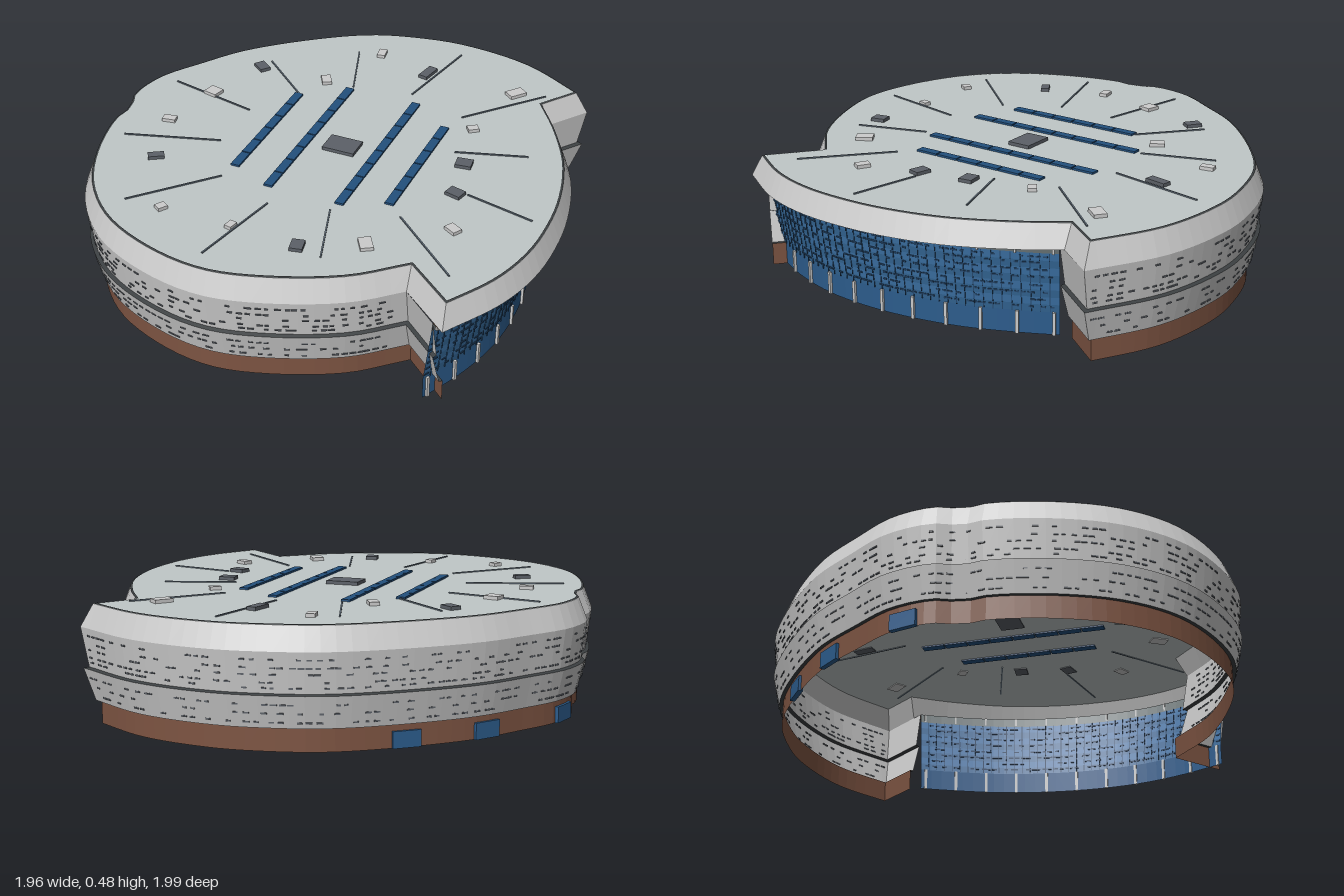
import * as THREE from 'three';
import { mergeGeometries } from 'three/addons/utils/BufferGeometryUtils.js';

const mat = (color) => new THREE.MeshStandardMaterial({ color, side: THREE.DoubleSide, flatShading: true });
const M = {
  shell: mat(0xcccccc), roof: mat(0xc0c8c8), dark: mat(0x5c6168), seam: mat(0x3c4042), brown: mat(0x7d5442),
  glassA: mat(0x3c72a6), glassB: mat(0x346796), glassBase: mat(0x2c5c8c), glassDash: mat(0x24466a),
  skylight: mat(0x23507d), line: mat(0x63707c), frame: mat(0x6c7678), white: mat(0xe4e6e6), soffit: mat(0x5a3c24),
};

// Plan curves, all running counter-clockwise seen from above
const plan = (pts) => new THREE.CatmullRomCurve3(pts.map(([x, z]) => new THREE.Vector3(x, 0, z)));
const shellCurve = plan([
  [0.805, -0.78], [0.5, -0.945], [0.18, -1], [-0.025, -0.98], [-0.235, -0.92], [-0.445, -0.79], [-0.71, -0.555],
  [-0.84, -0.37], [-0.95, -0.185], [-0.98, 0], [-0.945, 0.1], [-0.955, 0.185], [-0.905, 0.42], [-0.79, 0.66],
  [-0.605, 0.845], [-0.34, 0.96], [-0.1, 0.99], [0.135, 0.935], [0.4, 0.81], [0.5625, 0.67]]);
const eaveCurve = plan([[0.763, 0.835], [0.9, 0.6], [0.96, 0.4], [0.975, 0.2], [0.96, 0], [0.9, -0.24], [0.785, -0.475], [0.69, -0.62]]);
const glassCurve = plan([[0.715, 0.8], [0.805, 0.6], [0.86, 0.4], [0.875, 0.2], [0.86, 0], [0.805, -0.24], [0.7, -0.49], [0.655, -0.575]]);

// Moves a plan line inward by d with mitred corners
function inset(pts, d, closed = false) {
  const n = pts.length;
  const edge = (i) => {
    const a = pts[(i + n) % n], b = pts[(i + 1 + n) % n];
    const l = Math.hypot(b.x - a.x, b.z - a.z);
    return [(b.z - a.z) / l, -(b.x - a.x) / l];
  };
  return pts.map((p, i) => {
    const e1 = edge(!closed && i === 0 ? 0 : i - 1), e2 = edge(!closed && i === n - 1 ? n - 2 : i);
    const k = d / Math.max(0.4, 1 + e1[0] * e2[0] + e1[1] * e2[1]);
    return new THREE.Vector3(p.x + (e1[0] + e2[0]) * k, 0, p.z + (e1[1] + e2[1]) * k);
  });
}

// Band between a lower and an upper plan line
function band(name, low, yLow, high, yHigh, material, closed = false) {
  const n = low.length, pos = [], idx = [];
  low.forEach((p) => pos.push(p.x, yLow, p.z));
  high.forEach((p) => pos.push(p.x, yHigh, p.z));
  for (let i = 0; i < (closed ? n : n - 1); i++) {
    const j = (i + 1) % n;
    idx.push(i, j, n + j, i, n + j, n + i);
  }
  const g = new THREE.BufferGeometry();
  g.setAttribute('position', new THREE.Float32BufferAttribute(pos, 3));
  g.setIndex(idx);
  g.computeVertexNormals();
  return named(name, g, material);
}

function named(name, geometry, material) {
  const m = new THREE.Mesh(geometry, material);
  m.name = name;
  return m;
}

// Box set on a plan curve at fraction u, inset by off, centred at height y
function boxOn(curve, u, y, off, w, h, d) {
  const p = curve.getPointAt(u), t = curve.getTangentAt(u);
  return new THREE.BoxGeometry(w, h, d).rotateY(Math.atan2(-t.z, t.x))
    .translate(p.x + t.z * off, y, p.z - t.x * off);
}

// Fraction of a curve closest to a plan point
function nearest(curve, x, z) {
  let best = 0, bd = 9;
  for (let u = 0; u <= 1; u += 0.005) {
    const p = curve.getPointAt(u), d = Math.hypot(p.x - x, p.z - z);
    if (d < bd) { bd = d; best = u; }
  }
  return best;
}

let seed = 7;
const rand = () => (seed = (seed * 16807) % 2147483647) / 2147483647;

// Rows of short dashes scattered along a curved wall
function dashes(curve, rows, count, keep, offAt) {
  const list = [];
  for (const y of rows) for (let i = 0; i < count; i++) {
    if (rand() > keep) continue;
    const u = 0.008 + 0.984 * (i + rand() * 0.5) / count;
    list.push(boxOn(curve, u, y, offAt(y), 0.014 + rand() * 0.012, 0.006, 0.006));
  }
  return mergeGeometries(list);
}

export function createModel() {
  const model = new THREE.Group();
  const shell = shellCurve.getSpacedPoints(80);
  const eave = eaveCurve.getSpacedPoints(30);
  const glass = glassCurve.getSpacedPoints(30);
  const EAVE = 0.375, TOP = 0.465, SEAM = 0.22, BASE = 0.09;

  // Outer wall with its two return walls, in two tapering tiers over a brown plinth
  const wall = [glass[30], ...shell, glass[0]];
  const w = (d) => inset(wall, d);
  model.add(
    band('upperWall', w(0.02), SEAM, wall, EAVE, M.shell),
    band('wallSeam', w(0.005), SEAM - 0.005, w(0.021), SEAM, M.seam),
    band('lowerWall', w(0.035), BASE, w(0.005), SEAM - 0.005, M.shell),
    band('wallUnderside', w(0.05), BASE, w(0.035), BASE, M.seam),
    band('plinth', w(0.05), 0, w(0.05), BASE, M.brown));
  const wallOff = (y) => y > SEAM ? 0.02 * (EAVE - y) / (EAVE - SEAM) : 0.005 + 0.03 * (SEAM - y) / (SEAM - BASE);
  model.add(named('wallPerforations',
    dashes(shellCurve, [0.345, 0.315, 0.29, 0.26, 0.24, 0.18, 0.147, 0.112], 130, 0.55, wallOff), M.dark));

  // Doors in the plinth
  const doors = [[-0.5, -0.75], [-0.75, -0.5], [-0.96, -0.13]].map(([x, z]) =>
    boxOn(shellCurve, nearest(shellCurve, x, z), 0.032, 0.05, 0.11, 0.064, 0.02));
  model.add(named('doors', mergeGeometries(doors), M.glassBase));

  // Leaning glass front in striped bands, upright at street level
  const glassOff = (y) => 0.04 * (EAVE - y) / (EAVE - BASE);
  const g = (y) => inset(glass, glassOff(y));
  const bands = 8, glassTop = 0.335;
  for (let i = 0; i < bands; i++) {
    const y0 = BASE + (glassTop - BASE) * i / bands, y1 = BASE + (glassTop - BASE) * (i + 1) / bands;
    model.add(band('glassBand', g(y0), y0, g(y1), y1, i % 2 ? M.glassA : M.glassB));
  }
  model.add(
    band('glassHead', g(glassTop), glassTop, glass, EAVE, M.frame),
    band('entranceGlass', g(BASE), 0, g(BASE), BASE, M.glassBase),
    named('glassPattern', dashes(glassCurve, [0.11, 0.14, 0.17, 0.2, 0.235, 0.265, 0.295, 0.32], 55, 0.6, glassOff), M.glassDash));
  const posts = [], mullions = [];
  for (let i = 0; i < 11; i++) {
    const u = 0.015 + 0.97 * i / 10;
    posts.push(boxOn(glassCurve, u, BASE / 2, 0.037, 0.012, BASE, 0.014));
    posts.push(boxOn(glassCurve, u, 0.354, 0, 0.008, 0.04, 0.01));
  }
  for (let i = 1; i < 40; i++) for (let k = 0; k < 8; k++) {
    const y = BASE + (k + 0.5) * 0.0306;
    mullions.push(boxOn(glassCurve, i / 40, y, glassOff(y), 0.003, 0.031, 0.004));
  }
  model.add(named('entrancePosts', mergeGeometries(posts), M.white), named('glassMullions', mergeGeometries(mullions), M.glassDash));

  // Roof: sloping crown, flat deck, dark rim and soffit over the glass
  const outline = [...shell, ...eave];
  const deckEdge = inset(outline, 0.035, true);
  const shape = new THREE.Shape(deckEdge.map((p) => new THREE.Vector2(p.x, -p.z)));
  model.add(
    band('roofCrown', outline, EAVE, deckEdge, TOP, M.shell, true),
    band('roofRim', deckEdge, TOP + 0.001, inset(outline, 0.043, true), TOP + 0.003, M.seam, true),
    named('roofDeck', new THREE.ShapeGeometry(shape).rotateX(-Math.PI / 2).translate(0, TOP, 0), M.roof),
    band('soffit', glass, EAVE, eave, EAVE, M.soffit));

  // Skylight strips made of short panes
  const panes = [];
  for (const [x, z0, count] of [[-0.31, -0.285, 6], [-0.13, -0.41, 8], [0.17, -0.41, 8], [0.345, -0.285, 6]])
    for (let i = 0; i < count; i++)
      panes.push(new THREE.BoxGeometry(0.036, 0.014, 0.095).translate(x, TOP + 0.001, z0 + 0.05 + i * 0.1));
  model.add(named('skylights', mergeGeometries(panes), M.skylight));

  // Radial roof joints: x, z of both ends
  const joints = [
    [0.2, -0.87, 0.125, -0.475], [0.645, -0.685, 0.38, -0.385], [0.725, -0.215, 0.445, -0.13], [0.875, 0.195, 0.595, 0.13],
    [0.71, 0.635, 0.415, 0.37], [0.245, 0.72, 0.155, 0.435], [-0.16, 0.87, -0.08, 0.49], [-0.59, 0.685, -0.325, 0.395],
    [-0.825, 0.285, -0.445, 0.17], [-0.83, -0.17, -0.445, -0.085], [-0.535, -0.485, -0.31, -0.285], [-0.22, -0.715, -0.125, -0.43],
  ].map(([x0, z0, x1, z1]) => new THREE.BoxGeometry(0.006, 0.008, Math.hypot(x1 - x0, z1 - z0))
    .rotateY(Math.atan2(x1 - x0, z1 - z0)).translate((x0 + x1) / 2, TOP + 0.001, (z0 + z1) / 2));
  model.add(named('roofJoints', mergeGeometries(joints), M.line));

  // Rooftop units turned to the centre: x, z, width, radial depth
  const unit = ([x, z, wd, dp]) => new THREE.BoxGeometry(wd, 0.018, dp)
    .rotateY(Math.hypot(x, z) < 0.1 ? 0 : Math.atan2(x, z)).translate(x, TOP + 0.005, z);
  const darkUnits = [[0.02, 0.015, 0.135, 0.1], [0.125, -0.66, 0.04, 0.09], [0.51, -0.06, 0.055, 0.065], [0.55, 0.145, 0.05, 0.065],
    [0.14, 0.695, 0.05, 0.06], [-0.625, 0.38, 0.035, 0.065], [-0.55, -0.42, 0.045, 0.065]];
  const lightUnits = [[-0.12, -0.735, 0.035, 0.055], [0.525, -0.65, 0.05, 0.075], [0.455, -0.315, 0.035, 0.045],
    [0.625, 0.37, 0.04, 0.055], [0.365, 0.585, 0.05, 0.07], [-0.14, 0.68, 0.03, 0.04], [-0.435, 0.68, 0.035, 0.04],
    [-0.71, 0.115, 0.035, 0.055], [-0.645, -0.15, 0.055, 0.06], [-0.25, -0.43, 0.04, 0.06]];
  model.add(named('darkRoofUnits', mergeGeometries(darkUnits.map(unit)), M.dark),
    named('lightRoofUnits', mergeGeometries(lightUnits.map(unit)), M.shell));
  return model;
}
